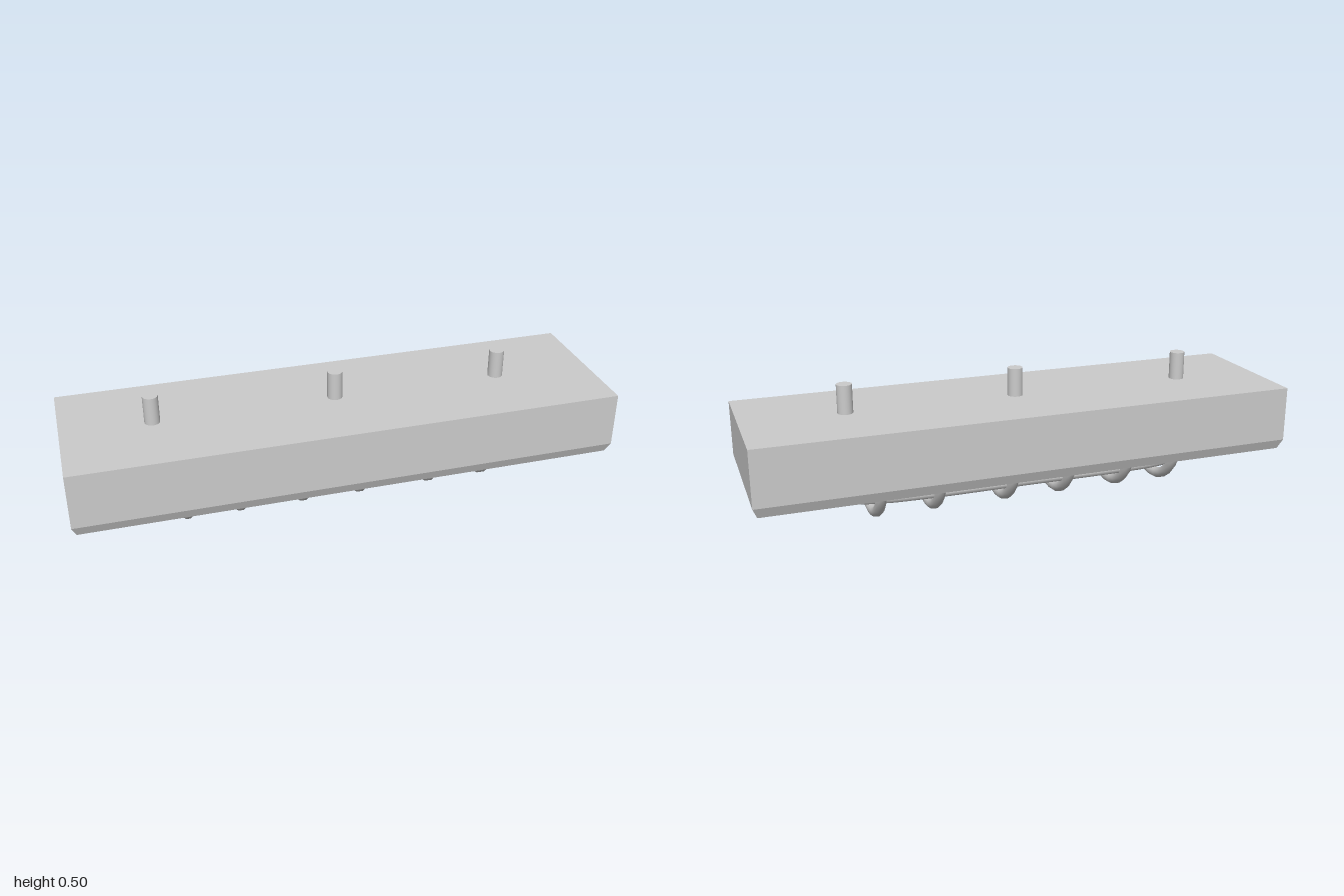
import * as THREE from 'three';

const grey = new THREE.MeshStandardMaterial({ color: 0xcccccc });

function add(group, name, geometry) {
  const mesh = new THREE.Mesh(geometry, grey);
  mesh.name = name;
  group.add(mesh);
  return mesh;
}

// Closed shell lofted through rectangles given as [halfX, halfZ, y]
function rectLoft(rings) {
  const pos = [];
  const corners = ([x, z, y]) => [[x, y, z], [x, y, -z], [-x, y, -z], [-x, y, z]];
  const quad = (a, b, c, d) => pos.push(...a, ...b, ...c, ...a, ...c, ...d);
  for (let i = 0; i < rings.length - 1; i++) {
    const up = corners(rings[i]), low = corners(rings[i + 1]);
    for (let k = 0; k < 4; k++) {
      const n = (k + 1) % 4;
      quad(up[k], low[k], low[n], up[n]);
    }
  }
  const first = corners(rings[0]), last = corners(rings[rings.length - 1]);
  quad(...first);
  quad(...last.reverse());
  const geometry = new THREE.BufferGeometry();
  geometry.setAttribute('position', new THREE.Float32BufferAttribute(pos, 3));
  geometry.computeVertexNormals();
  return geometry;
}

function tube(points, segments, radius) {
  const curve = new THREE.CatmullRomCurve3(points.map(p => new THREE.Vector3(...p)));
  return new THREE.TubeGeometry(curve, segments, radius, 10);
}

// Mirrors a half path [[a, y], ...] that ends on the centre line
function mirrored(half) {
  return [...half, ...half.slice(0, -1).reverse().map(([a, ...rest]) => [-a, ...rest])];
}

export function createModel() {
  const model = new THREE.Group();
  model.name = 'cagedCeilingLight';

  // Housing with a chamfered lower edge and a recess underneath
  add(model, 'housing', rectLoft([
    [1, 0.28, 0.395], [1, 0.28, 0.19], [0.985, 0.264, 0.152],
    [0.945, 0.225, 0.138], [0.925, 0.2, 0.138], [0.905, 0.188, 0.22],
  ]));

  // Mounting studs on top
  for (const x of [-0.675, -0.005, 0.63]) {
    add(model, 'mountingStud', new THREE.CylinderGeometry(0.028, 0.028, 0.11, 24))
      .position.set(x, 0.445, -0.003);
  }

  // Lamp cover: lower half of a long, round-ended body
  const profile = [[0, -0.74], [0.07, -0.72], [0.115, -0.66], [0.14, -0.58], [0.145, -0.5],
    [0.145, 0.5], [0.14, 0.58], [0.115, 0.66], [0.07, 0.72], [0, 0.74]];
  const lamp = new THREE.LatheGeometry(
    profile.map(p => new THREE.Vector2(...p)), 10, Math.PI, Math.PI);
  lamp.rotateZ(Math.PI / 2);
  lamp.scale(1, 1, 1.02);
  add(model, 'lampCover', lamp).position.y = 0.22;

  // Cage hoops across the lamp
  const hoop = mirrored([[0.19, 0.22], [0.172, 0.14], [0.15, 0.1], [0.11, 0.058], [0.057, 0.029], [0, 0.02]]);
  const hoopGeometry = tube(hoop.map(([z, y]) => [0, y, z]), 14, 0.02);
  for (const x of [-0.59, -0.395, -0.16, 0.06, 0.335, 0.55]) {
    add(model, 'cageHoop', hoopGeometry).position.x = x;
  }

  // Lengthwise cage bars that gather towards each end
  const centreBar = mirrored([[0.9, 0.215, 0], [0.8, 0.155, 0], [0.7, 0.1, 0], [0.56, 0.065, 0], [0.38, 0.052, 0], [0, 0.052, 0]]);
  add(model, 'centreCageBar', tube(centreBar, 48, 0.02));
  for (const side of [-1, 1]) {
    const bar = mirrored([[0.9, 0.215, 0.03], [0.8, 0.155, 0.075], [0.7, 0.12, 0.105], [0.55, 0.104, 0.122], [0.38, 0.1, 0.127], [0, 0.1, 0.127]]);
    add(model, 'sideCageBar', tube(bar.map(([x, y, z]) => [x, y, z * side]), 48, 0.018));
  }

  return model;
}
